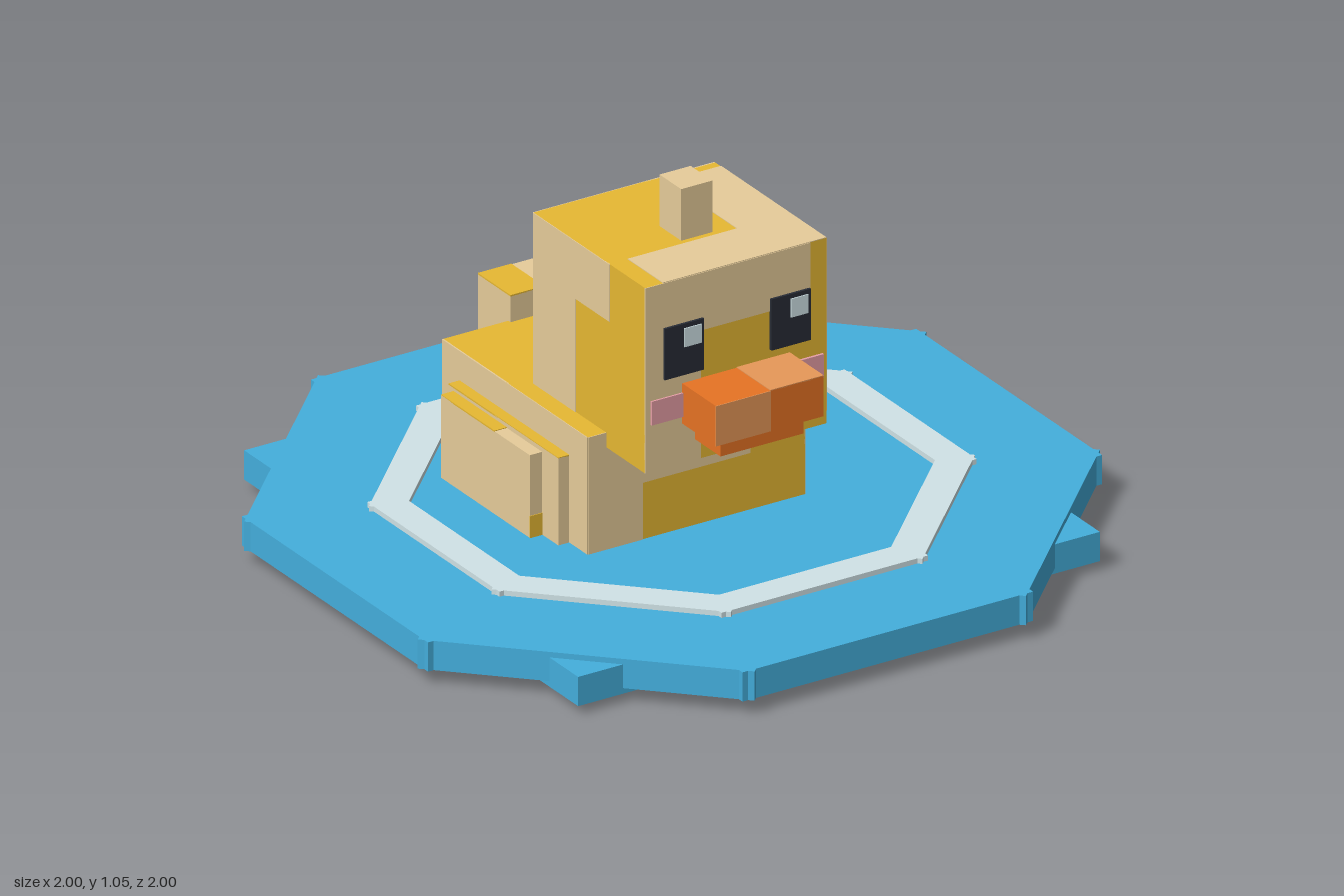
import * as THREE from 'three';

const mat = (name, color) => Object.assign(new THREE.MeshStandardMaterial({ color }), { name });

export function createModel() {
  const yellow = mat('yellow', 0xffcc39), cream = mat('cream', 0xffe2ab);
  const orange = mat('orange', 0xff8029), lightOrange = mat('lightOrange', 0xffa863);
  const blue = mat('waterBlue', 0x44afdd), foam = mat('foam', 0xe6fbff);
  const black = mat('black', 0x282c36), pink = mat('pink', 0xffb0b8);

  const model = new THREE.Group();
  model.name = 'duckOnWater';
  const group = (name) => {
    const g = new THREE.Group();
    g.name = name;
    model.add(g);
    return g;
  };

  // box given by its extents along x, y and z
  const box = (parent, name, material, ...e) => {
    const mesh = new THREE.Mesh(new THREE.BoxGeometry(...e.map(([a, b]) => b - a)), material);
    mesh.position.set(...e.map(([a, b]) => (a + b) / 2));
    mesh.name = name;
    parent.add(mesh);
    return mesh;
  };
  // thin colour plate on a face: axis 0 takes (y, z), axis 1 (x, z), axis 2 (x, y)
  const paint = (parent, material, axis, at, u, v) => {
    const e = [u, v];
    e.splice(axis, 0, [at - 0.002, at + 0.002]);
    return box(parent, 'colourPatch', material, ...e);
  };

  // water: four crossed slabs make the octagon, over a square one
  const water = group('water');
  for (let i = 0; i < 4; i++) {
    const slab = box(water, 'waterSlab', blue, [-0.425, 0.425], [0.04, 0.12], [-0.986, 0.986]);
    slab.rotation.y = i * Math.PI / 4;
  }
  box(water, 'waterBase', blue, [-0.763, 0.763], [0.025, 0.105], [-0.763, 0.763]);

  // ripple ring of eight bars
  const ripple = group('ripple');
  for (let i = 0; i < 8; i++) {
    const arm = new THREE.Group();
    arm.name = 'rippleArm';
    arm.rotation.y = i * Math.PI / 4;
    box(arm, 'rippleBar', foam, [-0.302, 0.302], [0.11, 0.134], [0.608, 0.698]);
    ripple.add(arm);
  }

  // body
  const body = group('body');
  box(body, 'torso', yellow, [-0.385, 0.25], [0, 0.44], [-0.446, 0.217]);
  paint(body, cream, 2, 0.217, [-0.385, -0.225], [0.1, 0.44]);
  paint(body, cream, 2, 0.217, [-0.225, 0.09], [0.275, 0.44]);
  paint(body, cream, 2, -0.446, [-0.2, 0.25], [0.1, 0.42]);
  paint(body, cream, 0, 0.25, [0.1, 0.44], [-0.446, 0.217]);
  paint(body, cream, 0, -0.385, [0.1, 0.44], [-0.446, 0.217]);
  paint(body, cream, 1, 0.44, [0.09, 0.25], [-0.425, -0.1]);

  // wings: two stacked layers on each side
  const wings = group('wings');
  box(wings, 'leftWingInner', cream, [0.24, 0.284], [0.08, 0.358], [-0.366, 0.135]);
  box(wings, 'leftWingOuter', cream, [0.28, 0.321], [0.08, 0.346], [-0.344, 0.061]);
  box(wings, 'rightWingInner', cream, [-0.419, -0.375], [0.08, 0.358], [-0.366, 0.135]);
  box(wings, 'rightWingOuter', cream, [-0.455, -0.415], [0.08, 0.346], [-0.344, 0.061]);
  paint(wings, yellow, 0, 0.284, [0.1, 0.358], [-0.366, -0.33]);
  paint(wings, yellow, 0, 0.321, [0.1, 0.18], [-0.344, -0.094]);
  paint(wings, yellow, 1, 0.346, [0.284, 0.321], [-0.344, -0.26]);
  paint(wings, yellow, 2, 0.135, [0.25, 0.284], [0.1, 0.358]);
  paint(wings, yellow, 1, 0.358, [-0.419, -0.385], [-0.366, 0.135]);
  paint(wings, yellow, 1, 0.346, [-0.455, -0.419], [-0.344, -0.1]);
  paint(wings, yellow, 2, 0.061, [-0.455, -0.419], [0.1, 0.18]);

  // tail
  const tail = group('tail');
  box(tail, 'tailBlock', cream, [-0.193, 0.06], [0.312, 0.512], [-0.586, -0.436]);
  paint(tail, yellow, 1, 0.512, [-0.193, -0.095], [-0.586, -0.436]);

  // head with its cream patches
  const head = group('head');
  box(head, 'skull', yellow, [-0.332, 0.198], [0.4, 0.907], [-0.114, 0.396]);
  paint(head, cream, 2, 0.396, [-0.332, -0.17], [0.4, 0.907]);
  paint(head, cream, 2, 0.396, [-0.17, 0.15], [0.75, 0.907]);
  paint(head, cream, 1, 0.907, [0.04, 0.198], [-0.085, 0.396]);
  paint(head, cream, 1, 0.907, [-0.28, 0.04], [0.235, 0.396]);
  paint(head, cream, 2, -0.114, [0.045, 0.198], [0.4, 0.907]);
  paint(head, cream, 2, -0.114, [-0.332, 0.045], [0.75, 0.907]);
  paint(head, cream, 0, 0.198, [0.435, 0.907], [0.235, 0.396]);
  paint(head, cream, 0, 0.198, [0.59, 0.907], [0.08, 0.235]);
  paint(head, cream, 0, 0.198, [0.75, 0.907], [-0.08, 0.08]);
  paint(head, cream, 0, -0.332, [0.4, 0.907], [-0.114, 0.08]);
  paint(head, cream, 0, -0.332, [0.75, 0.907], [0.08, 0.235]);
  box(head, 'tuft', cream, [-0.112, -0.021], [0.9, 1.048], [0.118, 0.217]);

  // eyes and cheeks
  for (const x of [-0.28, 0.032]) {
    box(head, 'eye', black, [x, x + 0.115], [0.645, 0.785], [0.396, 0.405]);
    box(head, 'eyeGlint', foam, [x + 0.056, x + 0.106], [0.722, 0.773], [0.402, 0.408]);
  }
  for (const x of [[-0.317, -0.2], [0.07, 0.187]]) {
    box(head, 'cheek', pink, x, [0.53, 0.595], [0.395, 0.403]);
  }

  // beak
  const beak = group('beak');
  box(beak, 'upperBeak', orange, [-0.225, 0.091], [0.51, 0.62], [0.39, 0.551]);
  box(beak, 'lowerBeak', orange, [-0.187, 0.056], [0.457, 0.51], [0.39, 0.514]);
  paint(beak, lightOrange, 1, 0.62, [-0.065, 0.091], [0.396, 0.551]);
  paint(beak, lightOrange, 2, 0.551, [-0.225, -0.065], [0.51, 0.62]);

  return model;
}
